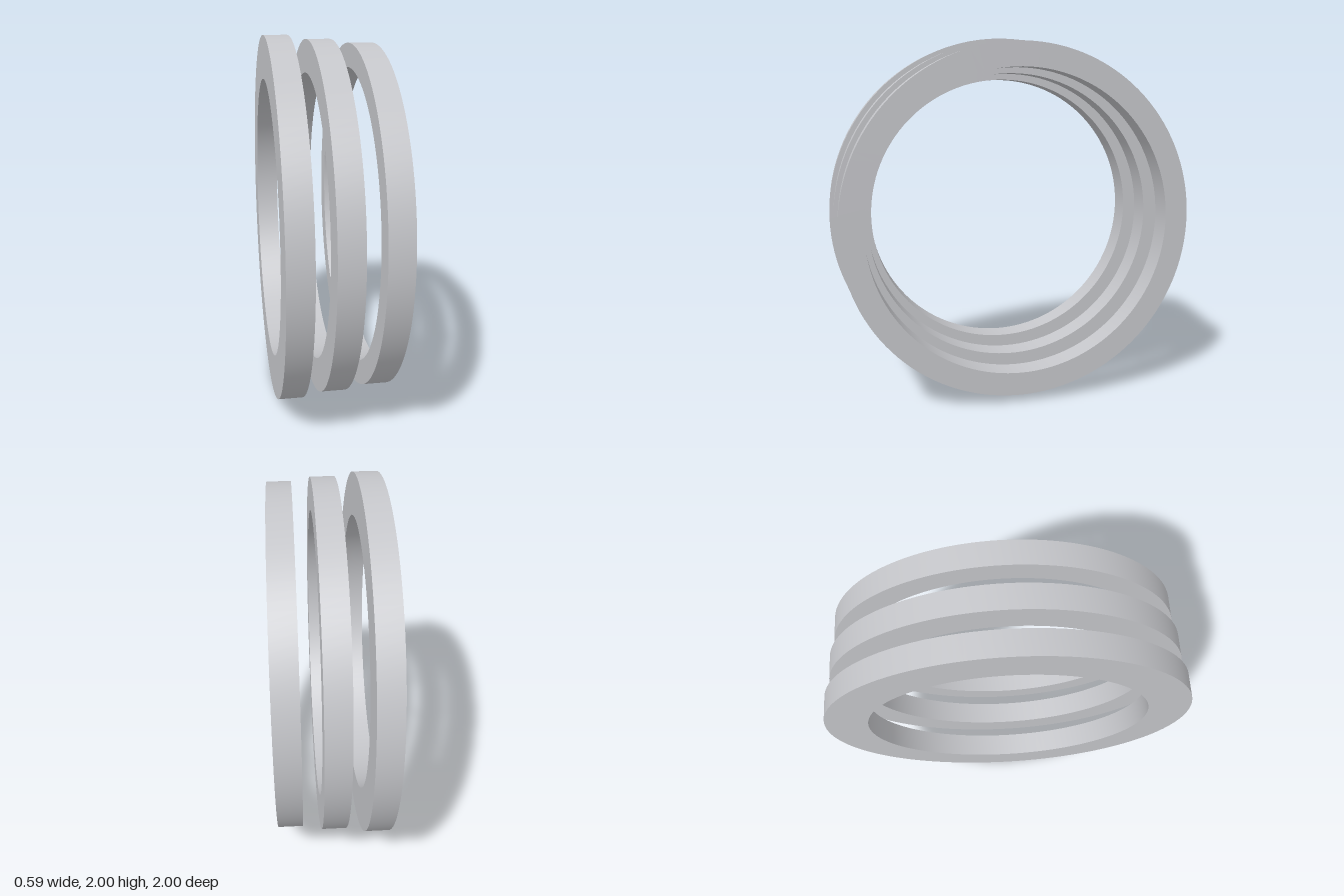
import * as THREE from 'three';
import { toCreasedNormals } from 'three/addons/utils/BufferGeometryUtils.js';

const HALF_WIDTH = 0.065;

// Flat-sided ring with a rectangular section, its axis along x
function ringGeometry(inner, outer) {
  const profile = [
    [inner, -HALF_WIDTH], [outer, -HALF_WIDTH],
    [outer, HALF_WIDTH], [inner, HALF_WIDTH], [inner, -HALF_WIDTH],
  ].map(([r, y]) => new THREE.Vector2(r, y));
  const lathe = new THREE.LatheGeometry(profile, 128);
  lathe.rotateZ(-Math.PI / 2);
  return toCreasedNormals(lathe, Math.PI / 6);
}

export function createModel() {
  const group = new THREE.Group();
  group.name = 'ringSet';
  const metal = new THREE.MeshStandardMaterial({ color: 0xc5c6ca });
  metal.name = 'silver grey';

  // Three separate coaxial rings, growing slimmer towards +x
  const rings = [
    { name: 'largeRing', x: -0.232, inner: 0.77, outer: 1.0 },
    { name: 'middleRing', x: -0.002, inner: 0.8, outer: 0.978 },
    { name: 'smallRing', x: 0.23, inner: 0.828, outer: 0.957 },
  ];
  for (const { name, x, inner, outer } of rings) {
    const ring = new THREE.Mesh(ringGeometry(inner, outer), metal);
    ring.name = name;
    ring.position.set(x, 1, 0);
    group.add(ring);
  }
  return group;
}
